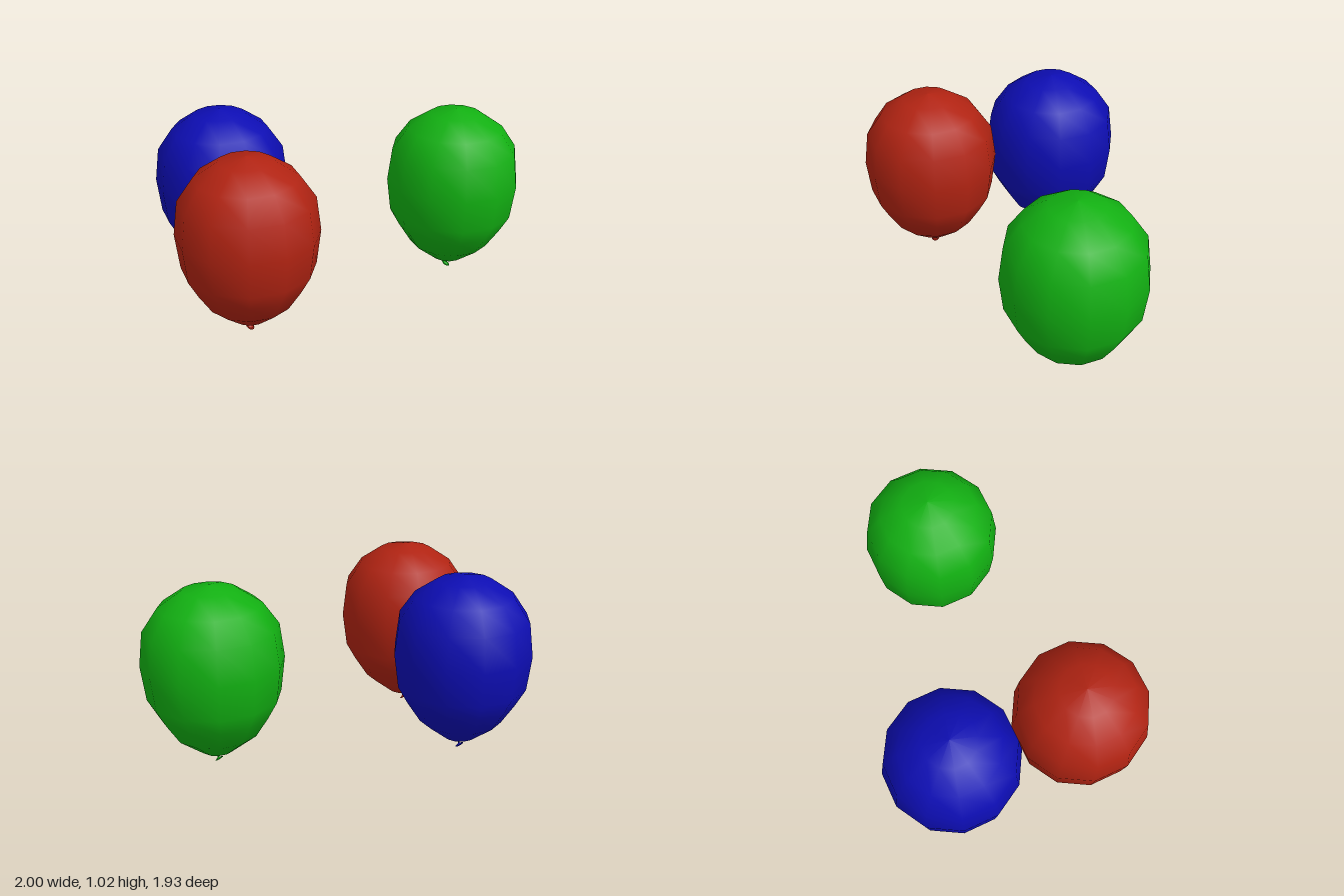
import * as THREE from 'three';

const lathe = (pts) => new THREE.LatheGeometry(pts.map(([r, y]) => new THREE.Vector2(r, y)), 12);

// Egg-shaped skin: radius, height from bottom to top
const skinProfile = [
  [0, 0.053], [0.088, 0.07], [0.233, 0.182], [0.308, 0.298], [0.362, 0.396],
  [0.386, 0.59], [0.362, 0.78], [0.276, 0.904], [0.147, 0.99], [0, 1.018],
];

function makeBalloon(name, color, x, z) {
  const balloon = new THREE.Group();
  balloon.name = name;
  const material = new THREE.MeshStandardMaterial({ color, side: THREE.DoubleSide });
  const add = (part, geometry) => {
    const mesh = new THREE.Mesh(geometry, material);
    mesh.name = part;
    balloon.add(mesh);
    return mesh;
  };

  add('skin', lathe(skinProfile));

  // Thin neck below the skin
  const neck = add('neck', new THREE.CylinderGeometry(0.008, 0.004, 0.04, 12, 1, true));
  neck.position.y = 0.039;

  // Tilted, flared lip at the mouth
  const lip = add('lip', lathe([[0, -0.001], [0.025, -0.003], [0.012, 0.002], [0.004, 0.007]]));
  lip.position.set(-0.003, 0.0155, 0);
  lip.rotation.z = -Math.PI / 6;

  balloon.position.set(x, 0, z);
  return balloon;
}

export function createModel() {
  const group = new THREE.Group();
  group.name = 'balloons';
  group.add(
    makeBalloon('blueBalloon', 0x0d0db3, -0.614, 0.01),
    makeBalloon('redBalloon', 0xb02312, -0.122, 0.58),
    makeBalloon('greenBalloon', 0x12b012, 0.612, -0.58),
  );
  return group;
}
